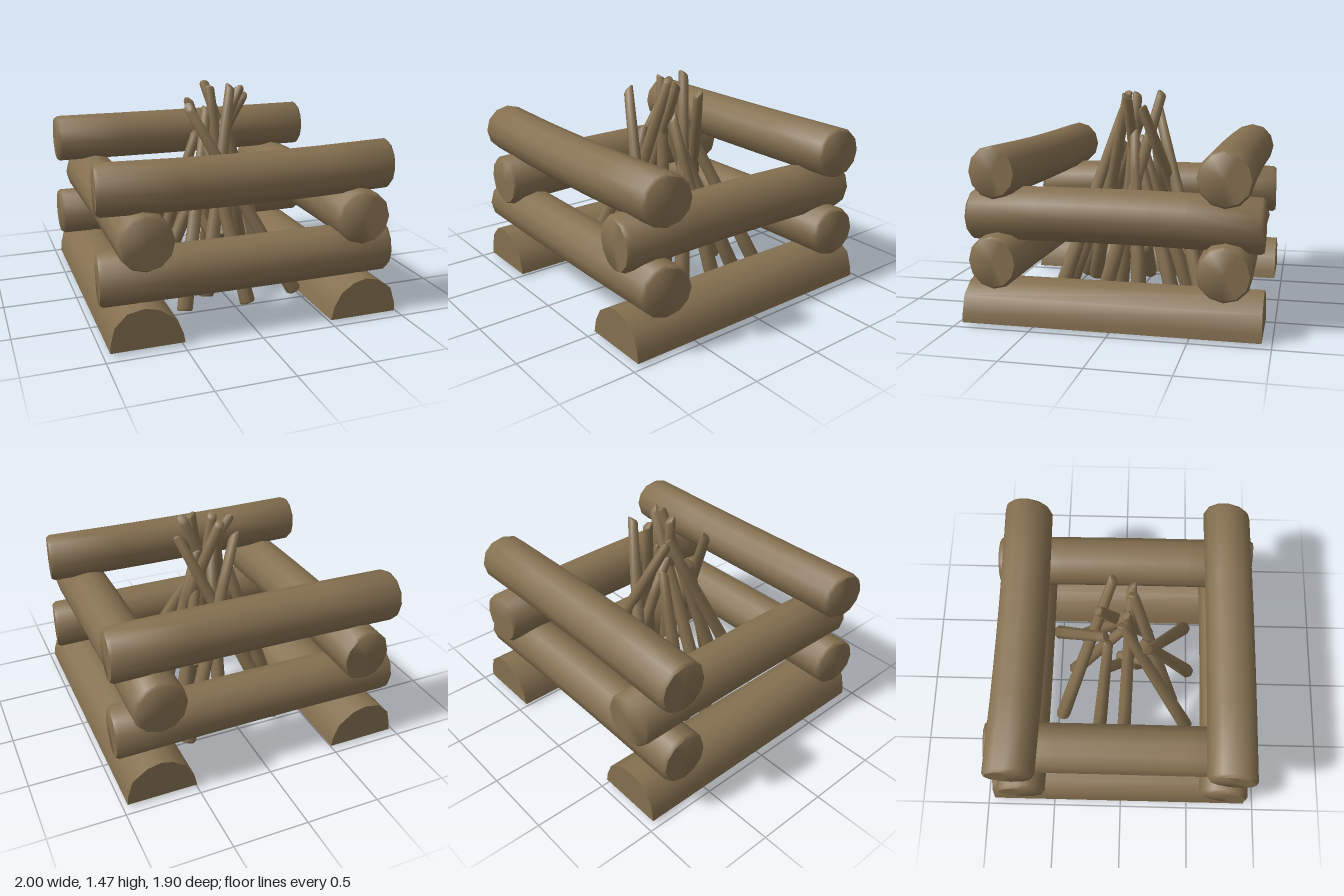
import * as THREE from 'three';
import { toCreasedNormals } from 'three/addons/utils/BufferGeometryUtils.js';

const V = (x, y, z) => new THREE.Vector3(x, y, z);
const UP = V(0, 1, 0);

// Round piece of wood from a to b: tapered, softly bevelled, bent, with ends cut at a slant
function timber(a, b, { ra, rb = ra, sides = 12, bend = V(0, 0, 0), cutA = 0, cutB = 0, bevel = 0.015 }) {
  const axis = b.clone().sub(a), length = axis.length();
  const dir = axis.clone().normalize();
  const side = dir.clone().cross(UP).normalize();
  const mid = a.clone().add(b).multiplyScalar(0.5);
  const g = new THREE.CylinderGeometry(1, 1, 2, sides, 8);
  const turn = new THREE.Quaternion().setFromUnitVectors(UP, dir);
  const pos = g.attributes.position;
  const p = V(0, 0, 0);
  for (let i = 0; i < pos.count; i++) {
    p.fromBufferAttribute(pos, i);
    let t = p.y;
    const end = Math.abs(t) > 0.99;
    if (!end && Math.abs(t) > 0.7) t = Math.sign(t) * (1 - 3 * bevel / length);
    const r = THREE.MathUtils.lerp(ra, rb, (t + 1) / 2) - (end ? bevel : 0);
    p.set(p.x * r, 0, p.z * r).applyQuaternion(turn);
    const cut = t < 0 ? cutA : cutB;
    const shift = t * length / 2 + cut * p.dot(side) * Math.abs(t) ** 4;
    p.addScaledVector(dir, shift).add(mid).addScaledVector(bend, 1 - t * t);
    pos.setXYZ(i, p.x, p.y, p.z);
  }
  return toCreasedNormals(g, 1.0);
}

// Split log lying on its flat face, running along z
function halfLog(outline, z0, z1) {
  const shape = new THREE.Shape(outline.map(([x, y]) => new THREE.Vector2(x, y)));
  const g = new THREE.ExtrudeGeometry(shape, { depth: z1 - z0, bevelEnabled: false });
  g.translate(0, 0, z0);
  return toCreasedNormals(g, 0.8);
}

export function createModel() {
  const model = new THREE.Group();
  model.name = 'campfire';
  const wood = new THREE.MeshStandardMaterial({ color: 0x857050 });
  wood.name = 'brown wood';
  const add = (parent, name, geometry) => {
    const mesh = new THREE.Mesh(geometry, wood);
    mesh.name = name;
    parent.add(mesh);
  };

  // Log frame, bottom layer to top layer
  const frame = new THREE.Group();
  frame.name = 'logFrame';
  model.add(frame);
  add(frame, 'rightHalfLog', halfLog([[-0.96, 0.04], [-0.49, 0.04], [-0.5, 0.1], [-0.54, 0.2],
    [-0.65, 0.28], [-0.74, 0.3], [-0.85, 0.28], [-0.93, 0.2], [-0.955, 0.1]], -0.95, 0.93));
  add(frame, 'leftHalfLog', halfLog([[0.5, 0.04], [0.97, 0.04], [0.965, 0.1], [0.93, 0.21],
    [0.83, 0.28], [0.74, 0.3], [0.66, 0.28], [0.57, 0.22], [0.52, 0.13]], -0.94, 0.95));
  const logs = [
    ['lowerFrontLog', V(-0.985, 0.443, 0.735), V(0.98, 0.443, 0.735), 0.172, V(0, 0, 0.01), -0.1, -0.14],
    ['lowerBackLog', V(-0.985, 0.443, -0.71), V(0.98, 0.443, -0.71), 0.172, V(0, 0, 0.01), 0, -0.08],
    ['middleRightLog', V(-0.715, 0.7, -0.935), V(-0.715, 0.695, 0.92), 0.178, V(0, 0.015, 0), 0.05, 0],
    ['middleLeftLog', V(0.72, 0.695, -0.935), V(0.72, 0.71, 0.935), 0.178, V(0, 0.015, 0), 0, -0.1],
    ['upperFrontLog', V(-0.985, 1.005, 0.73), V(0.975, 1.01, 0.725), 0.167, V(0, -0.015, 0.01), -0.1, -0.14],
    ['upperBackLog', V(-0.985, 1.01, -0.725), V(0.98, 1.01, -0.71), 0.172, V(0, 0, 0.015), 0, -0.08],
  ];
  for (const [name, a, b, ra, bend, cutA, cutB] of logs) {
    add(frame, name, timber(a, b, { ra, bend, cutA, cutB }));
  }

  // Kindling leaning together: foot x, y, z, then tip x, y, z
  const kindling = new THREE.Group();
  kindling.name = 'kindling';
  model.add(kindling);
  const sticks = [
    [-0.30, 0.05, -0.47, 0.27, 1.38, -0.07],
    [0.40, 0.05, -0.53, -0.13, 1.35, -0.11],
    [-0.40, 0.06, -0.18, -0.08, 1.12, -0.10],
    [-0.43, 0.04, 0.01, 0.19, 1.45, 0.05],
    [0.38, 0.05, -0.33, 0.08, 1.15, 0.02],
    [0.44, 0.06, -0.09, 0.10, 1.2, 0.02],
    [0.42, 0.05, 0.18, 0.0, 1.47, -0.16],
    [0.45, 0.07, 0.48, -0.22, 1.36, 0.16],
    [-0.36, 0.04, 0.50, -0.03, 1.31, -0.01],
    [0.09, 0.04, 0.51, -0.08, 1.1, 0.14],
    [-0.17, 0.07, 0.38, 0.12, 1.47, 0.06],
    [0.09, 0.04, -0.39, 0.0, 1.15, 0.0],
    [0.14, 0.05, 0.11, -0.02, 1.46, 0.02],
  ];
  sticks.forEach(([x0, y0, z0, x1, y1, z1], i) => {
    add(kindling, 'stick' + (i + 1), timber(V(x0, y0, z0), V(x1, y1, z1), {
      ra: 0.055, rb: 0.034, sides: 7, bevel: 0.009, cutA: 0.1, cutB: i % 2 ? 0.9 : -0.6,
    }));
  });

  // Short twigs inside the pile
  const twigs = [
    [0.02, 0.47, 0.17, 0.12, 0.3, -0.04],
    [-0.06, 0.5, -0.14, 0.06, 0.3, -0.01],
  ];
  twigs.forEach(([x0, y0, z0, x1, y1, z1], i) => {
    add(kindling, 'twig' + (i + 1), timber(V(x0, y0, z0), V(x1, y1, z1), {
      ra: 0.045, rb: 0.04, sides: 7, bevel: 0.008,
    }));
  });
  return model;
}
